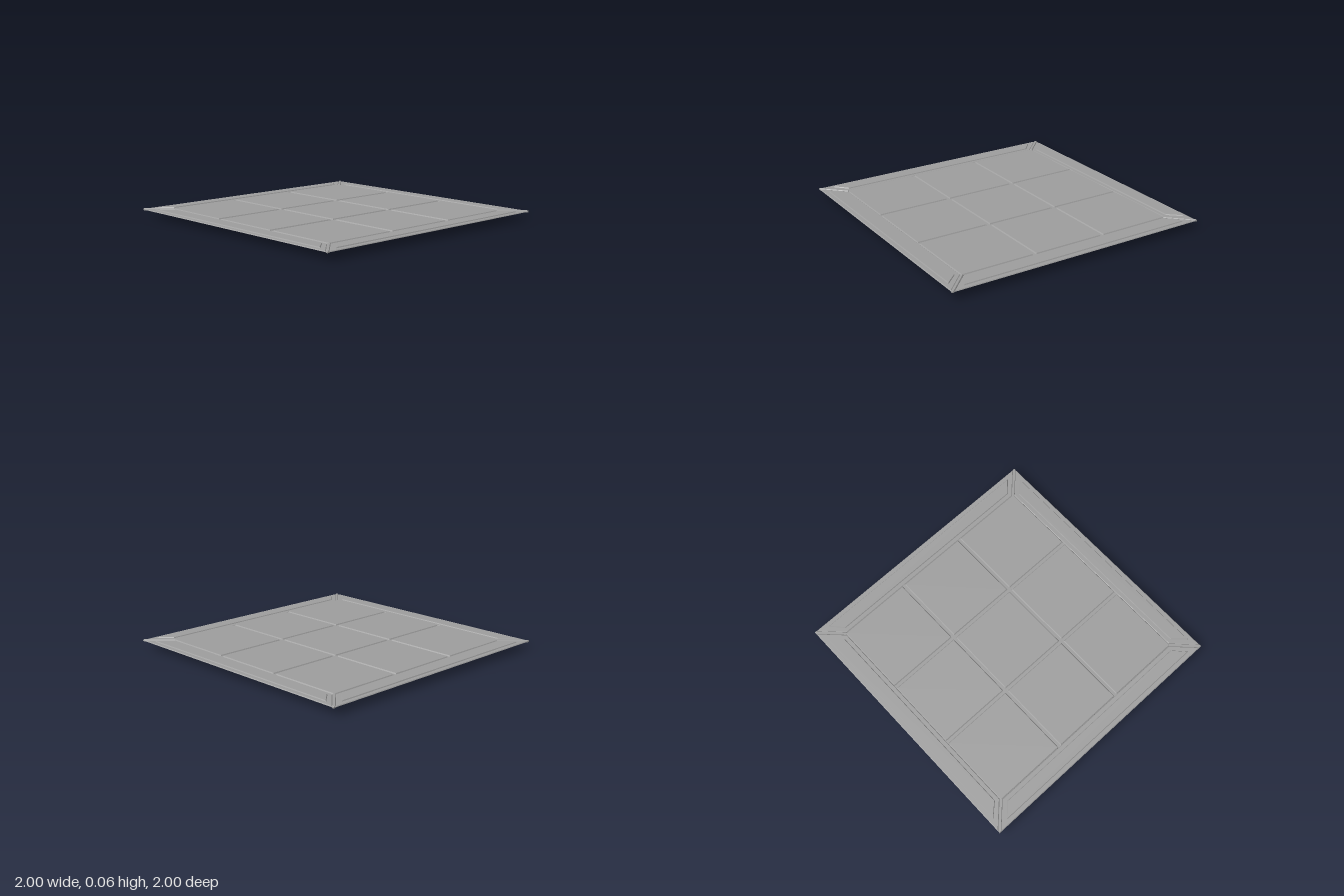
import * as THREE from 'three';

const material = new THREE.MeshStandardMaterial({ color: 0x9d9d9d, flatShading: true });

// Move every edge of a convex counter-clockwise outline inwards by d
function inset(points, d) {
  const n = points.length;
  return points.map((p, i) => {
    const a = points[(i + n - 1) % n], b = points[(i + 1) % n];
    const normal = (s, e) => {
      const l = Math.hypot(e[0] - s[0], e[1] - s[1]);
      return [-(e[1] - s[1]) / l, (e[0] - s[0]) / l];
    };
    const n1 = normal(a, p), n2 = normal(p, b);
    const k = d / (1 + n1[0] * n2[0] + n1[1] * n2[1]);
    return [p[0] + (n1[0] + n2[0]) * k, p[1] + (n1[1] + n2[1]) * k];
  });
}

// Prism over an outline (x, -z) with a sloped upper edge
function slab(name, points, y0, y1, bevel = 0, drop = bevel) {
  const rings = [[points, y0]];
  if (bevel > 0) rings.push([points, y1 - drop]);
  rings.push([bevel > 0 ? inset(points, bevel) : points, y1]);
  const loops = rings.map(([ring, y]) => ring.map(([x, v]) => [x, y, -v]));
  const n = points.length, pos = [];
  const tri = (a, b, c) => pos.push(...a, ...b, ...c);
  for (let r = 0; r + 1 < loops.length; r++) {
    for (let i = 0; i < n; i++) {
      const j = (i + 1) % n, lo = loops[r], hi = loops[r + 1];
      tri(lo[i], lo[j], hi[j]);
      tri(lo[i], hi[j], hi[i]);
    }
  }
  const top = loops[loops.length - 1], bottom = loops[0];
  for (let i = 1; i + 1 < n; i++) {
    tri(top[0], top[i], top[i + 1]);
    tri(bottom[0], bottom[i + 1], bottom[i]);
  }
  const geometry = new THREE.BufferGeometry();
  geometry.setAttribute('position', new THREE.Float32BufferAttribute(pos, 3));
  geometry.computeVertexNormals();
  const mesh = new THREE.Mesh(geometry, material);
  mesh.name = name;
  return mesh;
}

const rect = (x0, x1, v0, v1) => [[x0, v0], [x1, v0], [x1, v1], [x0, v1]];

export function createModel() {
  const model = new THREE.Group();
  model.name = 'floorTile';

  // Core block under the tiles
  model.add(slab('coreBlock', rect(-0.835, 0.835, -0.835, 0.835), 0, 0.05));

  // Crossing bars whose ends stand slightly proud of the core
  for (const c of [-0.278, 0.278]) {
    model.add(slab('lengthBar', rect(c - 0.014, c + 0.014, -0.845, 0.845), 0.02, 0.054));
    model.add(slab('crossBar', rect(-0.845, 0.845, c - 0.014, c + 0.014), 0.02, 0.054));
  }

  // Nine raised panels with sloped edges
  const spans = [[-0.84, -0.289], [-0.267, 0.267], [0.289, 0.84]];
  for (const [x0, x1] of spans) {
    for (const [v0, v1] of spans) {
      model.add(slab('centrePanel', rect(x0, x1, v0, v1), 0.045, 0.061, 0.006, 0.007));
    }
  }

  // Four mitred borders, each with a raised trapezoid panel and a corner strip
  for (let i = 0; i < 4; i++) {
    const side = new THREE.Group();
    side.name = 'borderSide';
    side.rotation.y = i * Math.PI / 2;
    side.add(
      slab('borderPlate', [[-0.985, -1], [0.985, -1], [0.825, -0.84], [-0.825, -0.84]], 0.051, 0.057, 0.005, 0.005),
      slab('borderPanel', [[-0.9, -0.967], [0.9, -0.967], [0.813, -0.872], [-0.813, -0.872]], 0.053, 0.063, 0.005, 0.007),
      slab('cornerStrip', [[0.825, -0.84], [0.985, -1], [1, -1], [1, -0.985], [0.84, -0.825]], 0.047, 0.061, 0.004, 0.005),
      slab('cornerBlock', rect(0.815, 0.842, -0.842, -0.815), 0.02, 0.052)
    );
    model.add(side);
  }
  return model;
}
